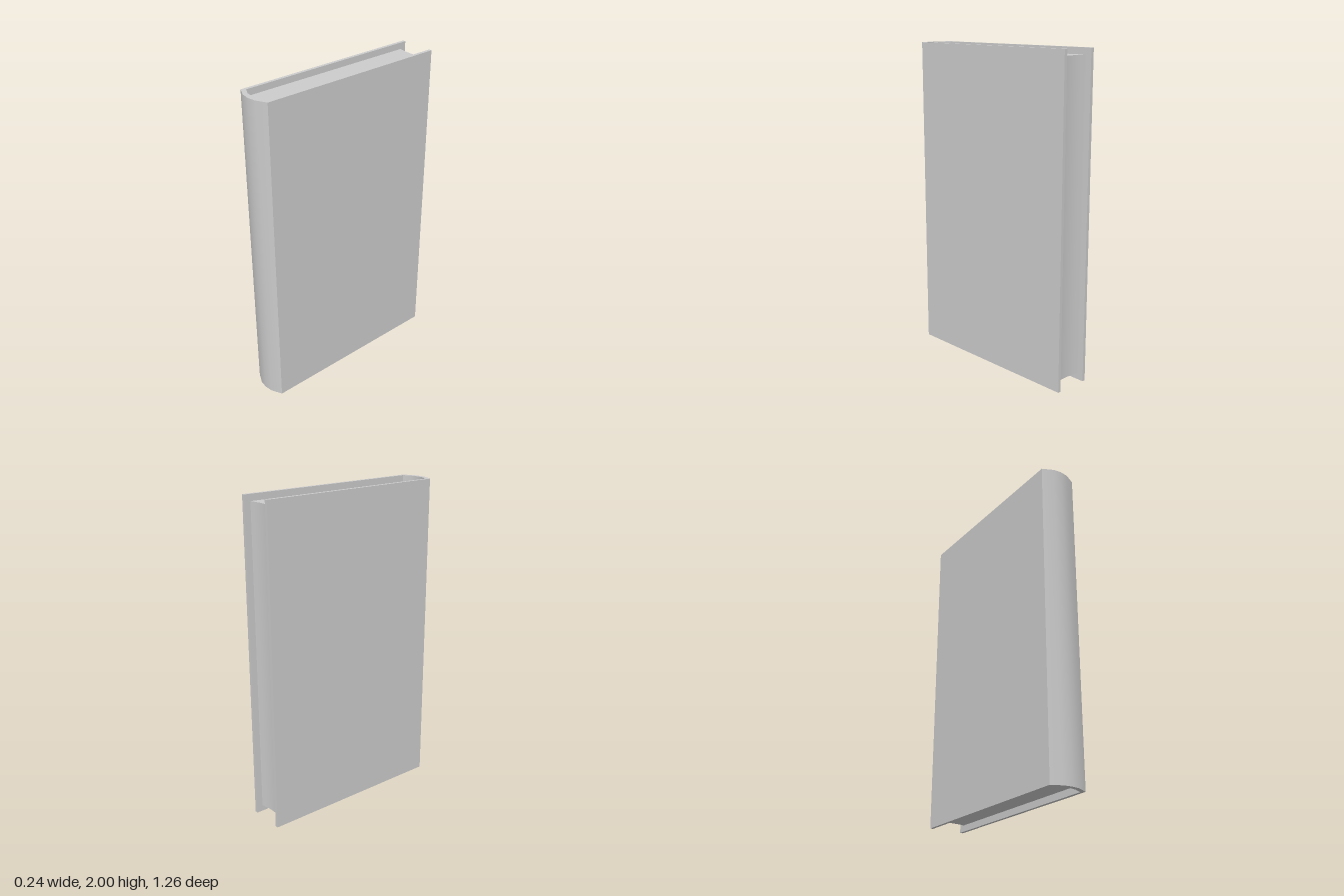
import * as THREE from 'three';
import { toCreasedNormals } from 'three/addons/utils/BufferGeometryUtils.js';

const HEIGHT = 2;
const OVERHANG = 0.04; // cover reaches past the pages at top, bottom and back

// Mirrors the right half of a curve, given as [x, z] from the outside to the middle (x = 0).
const mirrored = (half) => [
  ...half,
  ...half.slice(0, -1).reverse().map(([x, z]) => [-x, z]),
];

// Extrudes an [x, z] outline upwards from y0, keeping the curved runs smooth.
function upright(points, height, y0) {
  const shape = new THREE.Shape(points.map(([x, z]) => new THREE.Vector2(x, -z)));
  const geometry = new THREE.ExtrudeGeometry(shape, { depth: height, bevelEnabled: false });
  geometry.rotateX(-Math.PI / 2).translate(0, y0, 0);
  return toCreasedNormals(geometry, 0.6);
}

export function createModel() {
  const group = new THREE.Group();
  group.name = 'book';
  const grey = new THREE.MeshStandardMaterial({ color: 0xcccccc });
  grey.name = 'plain grey';

  const spineOuter = mirrored([[0.12, 0.587], [0.052, 0.62], [0, 0.627]]);
  const spineInner = mirrored([[0.1, 0.566], [0.05, 0.59], [0, 0.598]]);
  const pageEdge = mirrored([[0.1, -0.59], [0.067, -0.584], [0.033, -0.58], [0, -0.579]]);

  // Cover: two boards joined by the rounded spine, open at the back
  const cover = new THREE.Mesh(
    upright(
      [
        [0.12, -0.63], ...spineOuter, [-0.12, -0.63],
        [-0.1, -0.63], ...[...spineInner].reverse(), [0.1, -0.63],
      ],
      HEIGHT, 0
    ),
    grey
  );
  cover.name = 'cover';

  // Page block: rounded at the spine, hollowed along the fore edge
  const pages = new THREE.Mesh(
    upright([...spineInner, ...[...pageEdge].reverse()], HEIGHT - 2 * OVERHANG, OVERHANG),
    grey
  );
  pages.name = 'pageBlock';

  group.add(cover, pages);
  return group;
}
